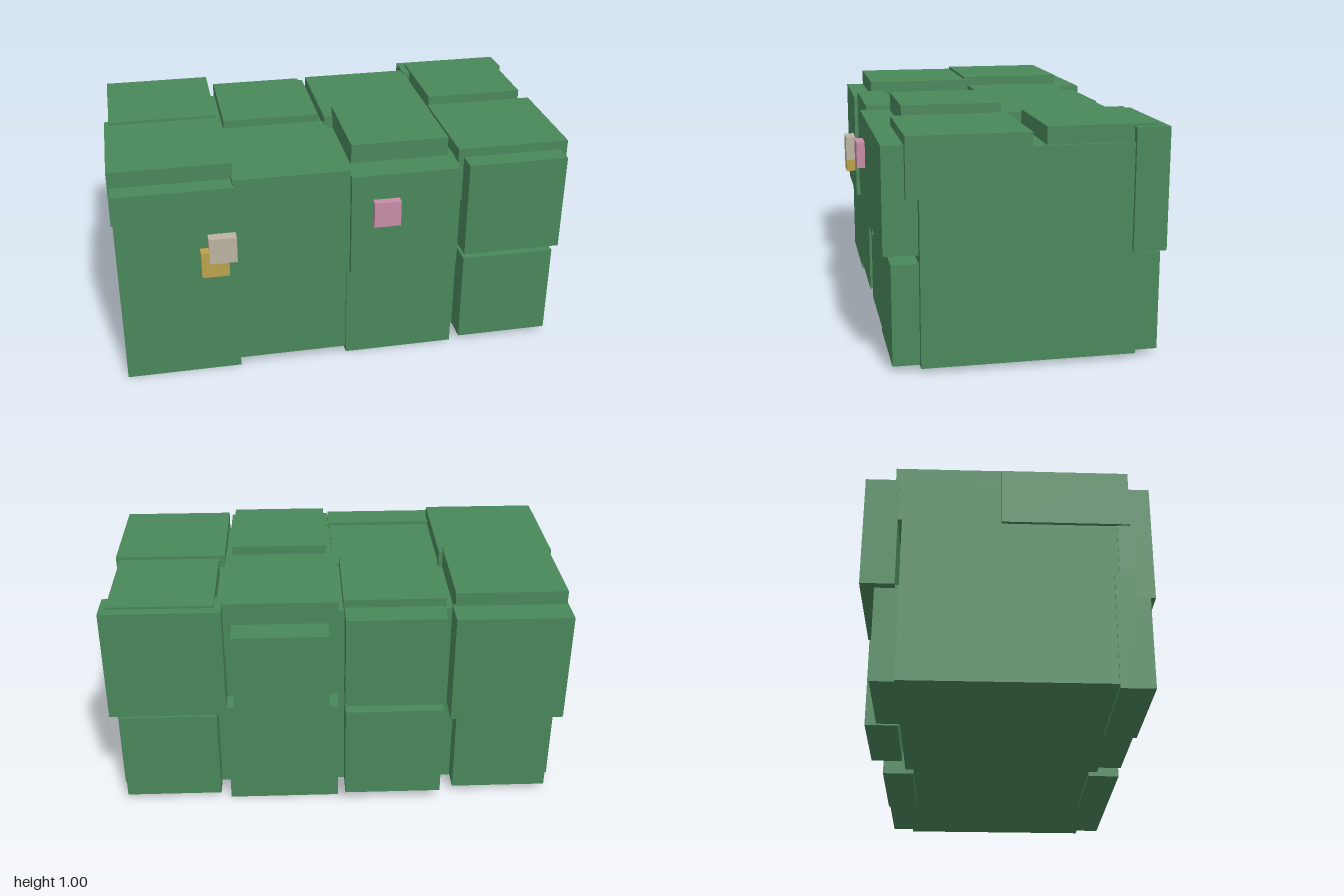
import * as THREE from 'three';

const mat = (name, color) => {
  const m = new THREE.MeshStandardMaterial({ color });
  m.name = name;
  return m;
};

export function createModel() {
  const group = new THREE.Group();
  const leaf = mat('leafGreen', 0x4a885b);
  const pink = mat('petalPink', 0xc68da8);
  const cream = mat('petalCream', 0xbdb3a2);
  const yellow = mat('petalYellow', 0xbca24b);

  // box from its limits on each axis
  const block = (name, material, [x0, x1], [y0, y1], [z0, z1]) => {
    const mesh = new THREE.Mesh(new THREE.BoxGeometry(x1 - x0, y1 - y0, z1 - z0), material);
    mesh.position.set((x0 + x1) / 2, (y0 + y1) / 2, (z0 + z1) / 2);
    mesh.name = name;
    group.add(mesh);
  };

  // solid hedge core
  block('hedgeCore', leaf, [-0.985, 0.985], [0.025, 0.91], [-0.455, 0.435]);

  // front clumps: x range, y range, front face z
  const front = [
    [[-0.99, -0.485], [0.4, 0.915], 0.565],
    [[-0.99, -0.485], [0.005, 0.5], 0.545],
    [[-0.49, 0.01], [0.44, 0.94], 0.548],
    [[-0.49, -0.005], [0.045, 0.5], 0.546],
    [[0.01, 0.49], [0.45, 0.92], 0.575],
    [[0, 0.495], [0.005, 0.5], 0.535],
    [[0.525, 0.965], [0.49, 0.928], 0.578],
    [[0.535, 0.952], [0.03, 0.45], 0.546],
  ];
  for (const [x, y, z] of front) block('frontLeafClump', leaf, x, y, [z - 0.14, z]);

  // back clumps: x range, y range, back face z
  const back = [
    [[-0.985, -0.49], [0.445, 0.94], -0.612],
    [[-0.95, -0.525], [0.035, 0.46], -0.555],
    [[-0.46, -0.03], [0.5, 0.925], -0.575],
    [[-0.46, -0.03], [0.055, 0.49], -0.61],
    [[0.04, 0.455], [0.45, 0.865], -0.6],
    [[0, 0.49], [0.005, 0.49], -0.558],
    [[0.49, 1], [0.465, 0.972], -0.568],
    [[0.535, 0.96], [0.03, 0.45], -0.556],
  ];
  for (const [x, y, z] of back) block('backLeafClump', leaf, x, y, [z, z + 0.14]);

  // top clumps: x range, z range, top face y
  const top = [
    [[-1, -0.482], [-0.048, 0.478], 0.987],
    [[-0.98, -0.5], [-0.487, -0.006], 1],
    [[-0.485, 0.005], [-0.02, 0.42], 0.925],
    [[-0.465, -0.025], [-0.457, -0.018], 0.961],
    [[0.035, 0.465], [0.004, 0.439], 1.005],
    [[-0.005, 0.495], [-0.482, 0.03], 0.965],
    [[0.5, 0.997], [-0.01, 0.489], 0.968],
    [[0.522, 0.97], [-0.525, -0.072], 0.983],
  ];
  for (const [x, z, y] of top) block('topLeafClump', leaf, x, [y - 0.25, y], z);

  // small square blossoms on the front
  block('yellowBlossom', yellow, [-0.64, -0.522], [0.523, 0.642], [0.49, 0.61]);
  block('creamBlossom', cream, [-0.605, -0.487], [0.588, 0.706], [0.493, 0.613]);
  block('pinkBlossom', pink, [0.103, 0.219], [0.69, 0.806], [0.494, 0.612]);

  return group;
}
